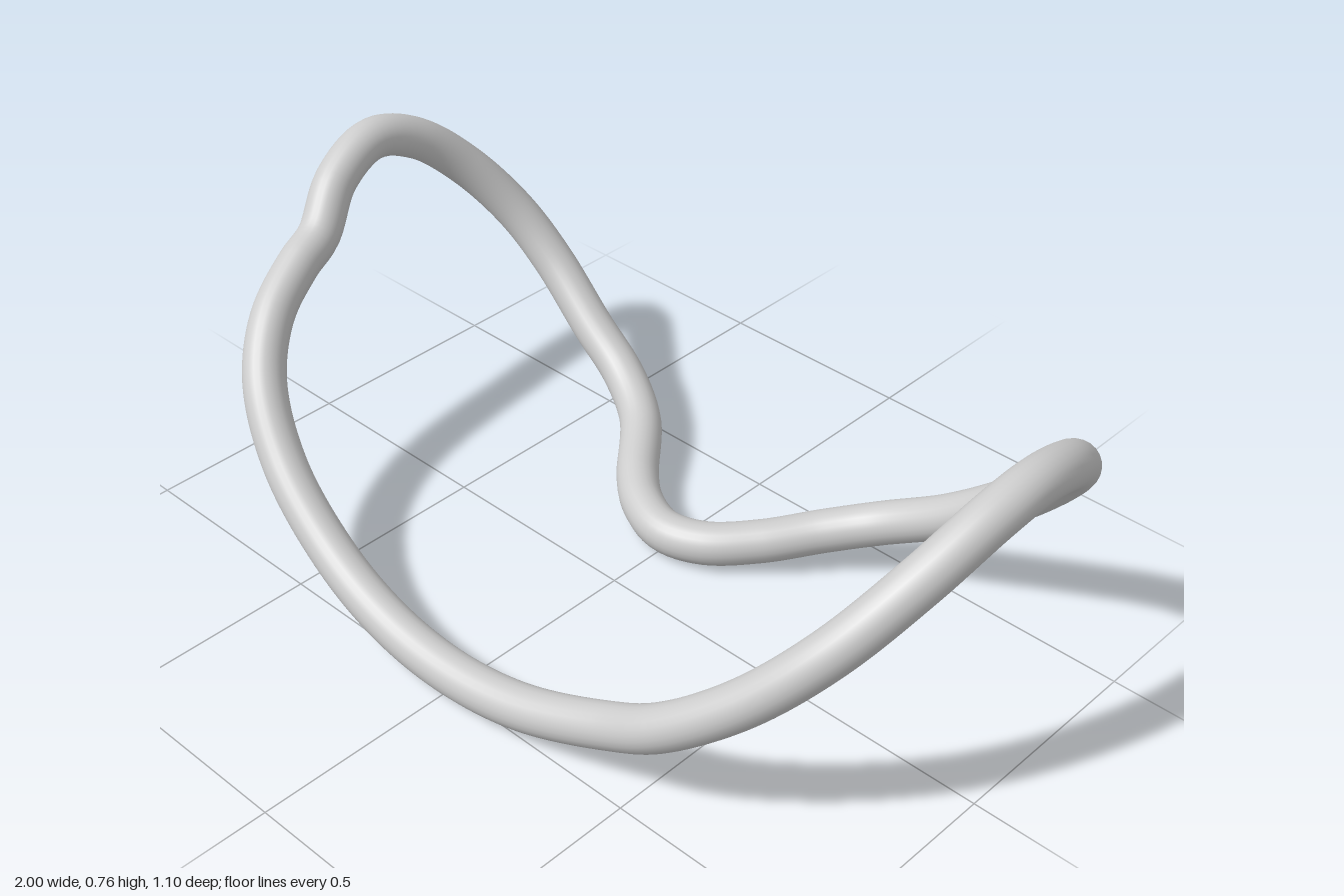
import * as THREE from 'three';

// Closed rim outline in plan as [x, z]; its height follows a circular arc in x.
const OUTLINE = [
  [0, 0.498], [0.2, 0.485], [0.42, 0.454], [0.55, 0.44], [0.7, 0.375], [0.82, 0.275], [0.9, 0.13],
  [0.94, -0.03], [0.946, -0.15], [0.925, -0.3], [0.87, -0.425], [0.8, -0.485], [0.7, -0.503],
  [0.55, -0.485], [0.4, -0.445], [0.3, -0.375], [0.2, -0.27], [0.1, -0.19], [0, -0.165],
  [-0.1, -0.2], [-0.17, -0.255], [-0.3, -0.4], [-0.42, -0.465], [-0.55, -0.49], [-0.7, -0.505],
  [-0.8, -0.478], [-0.885, -0.395], [-0.935, -0.28], [-0.95, -0.16], [-0.93, -0.03], [-0.885, 0.07],
  [-0.865, 0.15], [-0.82, 0.27], [-0.74, 0.367], [-0.6, 0.435], [-0.4, 0.475], [-0.2, 0.495],
];
const TUBE = 0.05;
const BEND = 1.016;

const bentHeight = (x) => TUBE + 0.002 + BEND - Math.sqrt(BEND * BEND - x * x);

export function createModel() {
  const group = new THREE.Group();
  group.name = 'bentRim';

  // Smooth round tube swept along the bent outline
  const points = OUTLINE.map(([x, z]) => new THREE.Vector3(x, bentHeight(x), z));
  const path = new THREE.CatmullRomCurve3(points, true, 'centripetal');
  const rim = new THREE.Mesh(
    new THREE.TubeGeometry(path, 320, TUBE, 24, true),
    new THREE.MeshStandardMaterial({ color: 0xcccccc }),
  );
  rim.name = 'rimTube';
  group.add(rim);
  return group;
}
